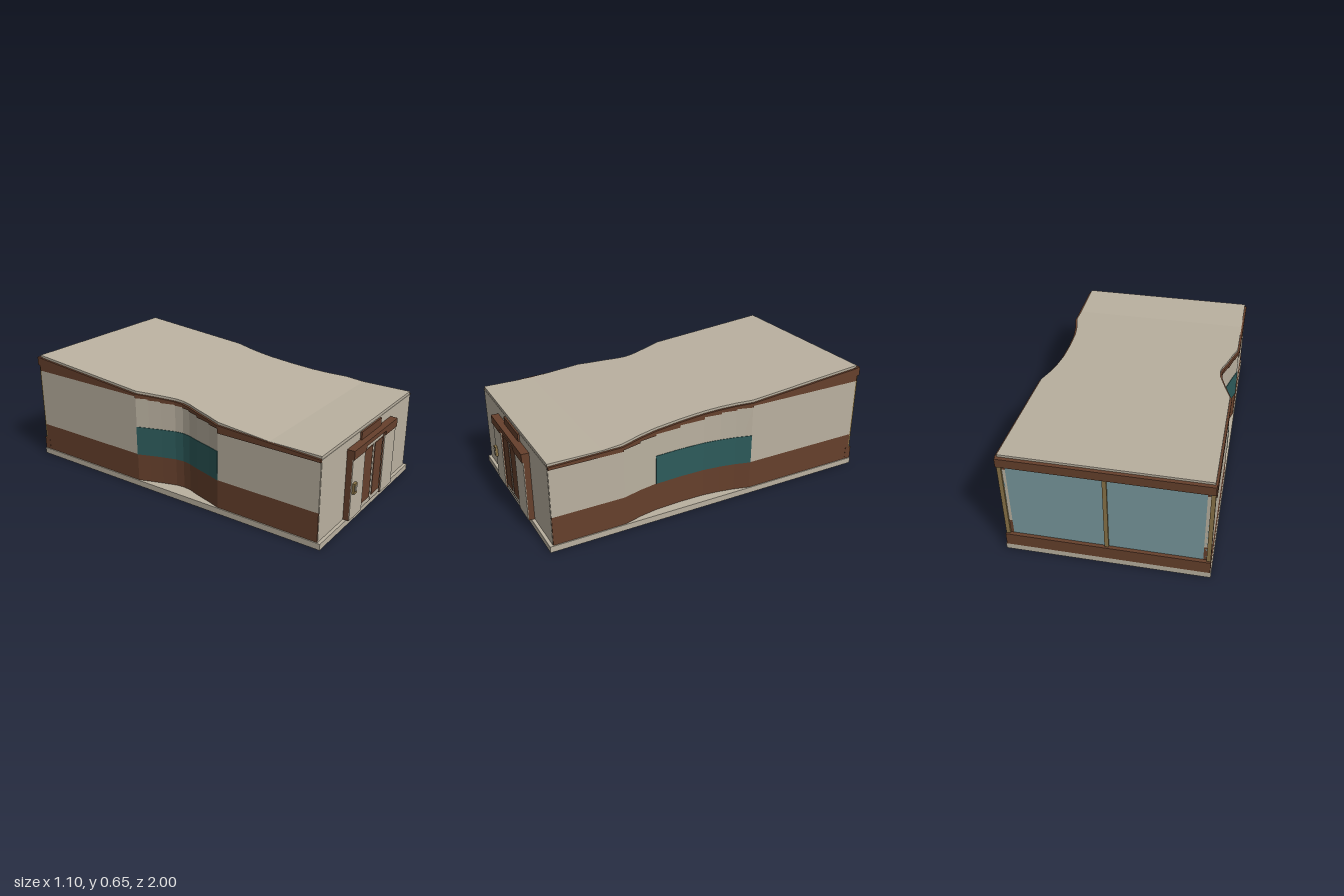
import * as THREE from 'three';
import { mergeGeometries } from 'three/addons/utils/BufferGeometryUtils.js';

const paint = (name, color) => {
  const m = new THREE.MeshStandardMaterial({ color });
  m.name = name;
  return m;
};

// Wall lines in plan, [z, distance from the centre line], front to back
const RIGHT = [[0.945, 0.542], [0.54, 0.542], [0.43, 0.513], [0.33, 0.496], [0.18, 0.488], [0.03, 0.489],
  [-0.07, 0.5], [-0.16, 0.517], [-0.25, 0.542], [-0.98, 0.542]];
const LEFT = [[0.945, 0.542], [0.34, 0.542], [0.27, 0.52], [0.17, 0.493], [0.1, 0.47], [0.05, 0.462],
  [0, 0.467], [-0.08, 0.492], [-0.15, 0.516], [-0.22, 0.542], [-0.98, 0.542]];

const roofY = z => 0.505 + Math.max(0, 0.65 - z) * 0.089;

function reach(line, z) {
  for (let i = 1; i < line.length; i++) {
    const [z0, x0] = line[i - 1], [z1, x1] = line[i];
    if (z >= z1) return x0 + (x1 - x0) * (z0 - z) / (z0 - z1);
  }
  return line[line.length - 1][1];
}

// A box whose corners are placed by rule: f(xSign, ySign, zSign) -> [x, y, z]
function shapedBox(f) {
  const g = new THREE.BoxGeometry(2, 2, 2);
  const p = g.attributes.position;
  for (let i = 0; i < p.count; i++) p.setXYZ(i, ...f(p.getX(i), p.getY(i), p.getZ(i)));
  g.computeVertexNormals();
  return g;
}

// A band of wall following a plan line between two heights
function band(line, side, out, low, high) {
  return mergeGeometries(line.slice(1).map((b, i) => {
    const a = line[i];
    return shapedBox((sx, sy, sz) => {
      const [z, x] = sz > 0 ? a : b;
      const d = sx === side ? x + out : x - 0.04;
      return [side * d, sy > 0 ? high(z, a, b) : low(z, a, b), z];
    });
  }));
}

export function createModel() {
  const model = new THREE.Group();
  model.name = 'pavilion';
  const beige = paint('beige panel', 0xbab1a0);
  const brown = paint('brown cladding', 0x66402c);
  const teal = paint('dark teal glass', 0x2d5b5b);
  const blue = paint('pale blue glass', 0x78989c);
  const bronze = paint('bronze frame', 0x8a7448);
  const dark = paint('dark gap', 0x3a3632);

  const add = (name, geometry, material) => {
    const mesh = new THREE.Mesh(geometry, material);
    mesh.name = name;
    model.add(mesh);
  };
  // Box given by its limits
  const box = (name, mat, x0, x1, y0, y1, z0, z1) => {
    const g = new THREE.BoxGeometry(x1 - x0, y1 - y0, z1 - z0);
    g.translate((x0 + x1) / 2, (y0 + y1) / 2, (z0 + z1) / 2);
    add(name, g, mat);
  };

  box('base', beige, -0.548, 0.548, 0, 0.035, -1, 0.965);

  // Side walls: brown plinth, beige panels with stepped tops, brown eaves, curved window
  const panelTop = (z, a, b) => {
    if (b[0] < -0.9) return 0.555;
    return a[0] > 0.9 ? 0.475 : roofY(a[0]) - 0.032;
  };
  for (const [label, line, side, from, to] of [['right', RIGHT, 1, 0.33, -0.25], ['left', LEFT, -1, 0.34, -0.22]]) {
    // seen facing the front, the +x wall is the model's left
    const name = label === 'right' ? 'left' : 'right';
    add(name + 'Plinth', band(line, side, 0, () => 0.035, () => 0.2), brown);
    add(name + 'WallPanels', band(line, side, 0, () => 0.2, panelTop), beige);
    add(name + 'Eaves', band(line, side, 0.005, panelTop, z => roofY(z) - 0.014), brown);
    const span = line.filter(p => p[0] <= from && p[0] >= to);
    add(name + 'CurvedWindow', band(span, side, 0.003, () => 0.2, () => 0.37), teal);
  }

  // Roof: flat at the front, rising to the back, following both wall lines
  const stations = [...new Set([...RIGHT, ...LEFT].map(p => p[0]).concat(0.65))].sort((a, b) => b - a);
  add('roof', mergeGeometries(stations.slice(1).map((zb, i) => shapedBox((sx, sy, sz) => {
    const z = sz > 0 ? stations[i] : zb;
    const x = sx > 0 ? reach(RIGHT, z) - 0.007 : -reach(LEFT, z) + 0.007;
    return [x, roofY(z) - (sy > 0 ? 0 : 0.018), z];
  }))), beige);

  // Front wall and entrance
  box('frontWall', beige, -0.537, 0.537, 0.035, 0.488, 0.92, 0.947);
  box('entranceUpperPanel', brown, -0.12, 0.12, 0.43, 0.484, 0.94, 0.957);
  box('entranceHeader', brown, -0.267, 0.267, 0.414, 0.44, 0.94, 0.99);
  box('threshold', dark, -0.1, 0.1, 0.035, 0.041, 0.94, 0.972);
  for (const s of [-1, 1]) {
    const span = (a, b) => (s > 0 ? [a, b] : [-b, -a]);
    box('headerEnd', brown, ...span(0.12, 0.267), 0.39, 0.414, 0.94, 0.99);
    box('sidePanelCore', brown, ...span(0.122, 0.265), 0.035, 0.39, 0.94, 0.979);
    box('sidePanelFace', beige, ...span(0.122, 0.265), 0.038, 0.39, 0.979, 0.983);
    box('door', beige, ...span(0.0015, 0.12), 0.041, 0.414, 0.94, 0.974);
    box('doorInset', brown, ...span(0.014, 0.109), 0.068, 0.38, 0.973, 0.977);
  }
  box('doorGap', dark, -0.0015, 0.0015, 0.041, 0.414, 0.94, 0.968);
  box('keypadFrame', bronze, -0.256, -0.224, 0.192, 0.252, 0.98, 0.997);
  box('keypadFace', beige, -0.249, -0.231, 0.207, 0.238, 0.996, 1);

  // Glazed back
  box('backGlass', blue, -0.535, 0.535, 0.1, 0.6, -0.98, -0.965);
  box('backSill', brown, -0.543, 0.543, 0.035, 0.11, -1, -0.96);
  box('backHeader', brown, -0.543, 0.543, 0.585, 0.637, -1, -0.96);
  for (const x of [-0.53, 0, 0.53]) box('backMullion', bronze, x - 0.011, x + 0.011, 0.11, 0.585, -0.99, -0.965);
  return model;
}
